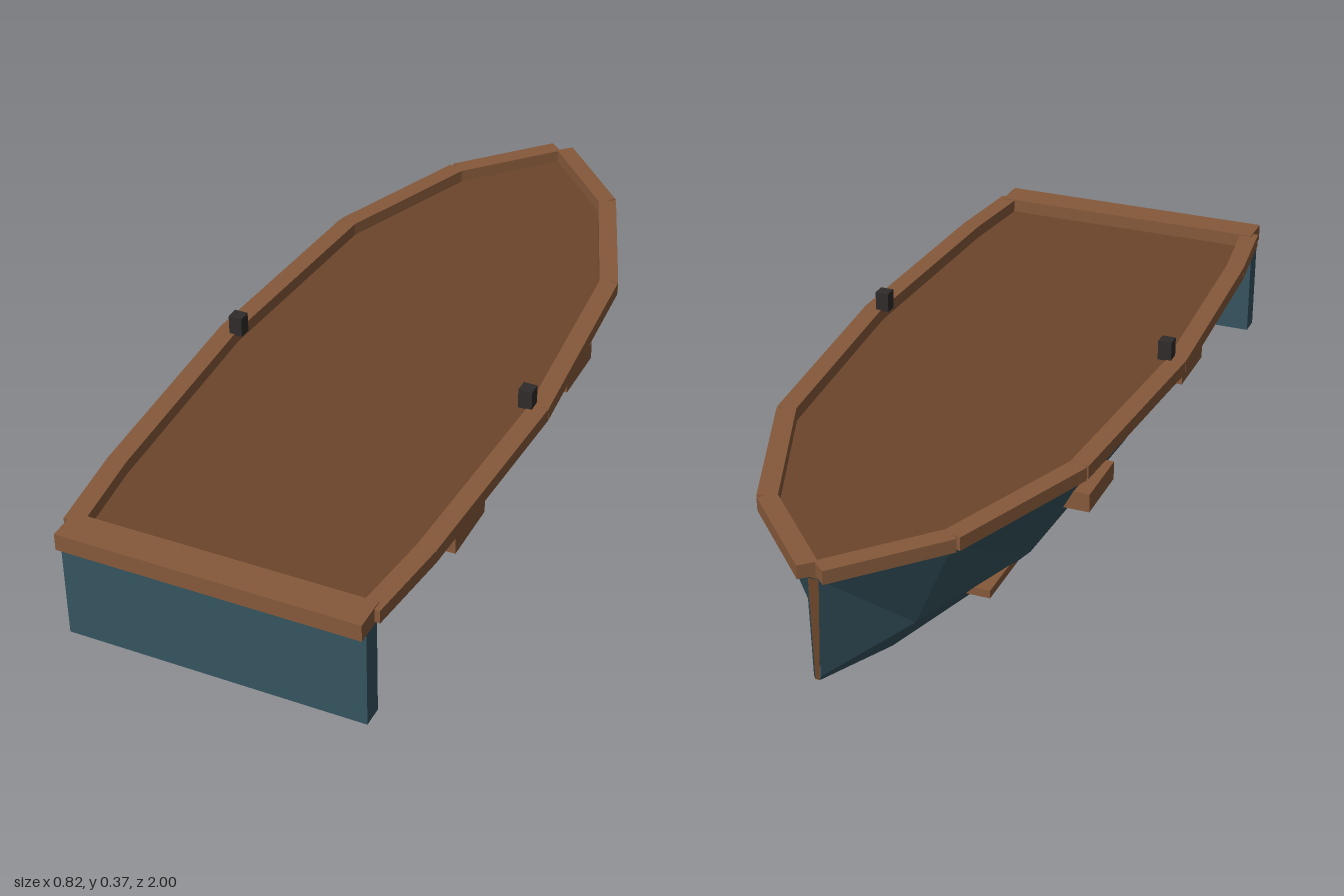
import * as THREE from 'three';

const paint = (color) => new THREE.MeshStandardMaterial({ color, flatShading: true, side: THREE.DoubleSide });

// Hull stations from stern to bow:
// [z, sheer half-width, chine half-width, chine y, bottom half-width, bottom y]
const STATIONS = [
  [0.94, 0.34, 0.195, 0.085, 0.145, 0.032],
  [0.72, 0.365, 0.245, 0.08, 0.165, 0.018],
  [0.16, 0.39, 0.265, 0.08, 0.175, 0],
  [-0.4, 0.35, 0.24, 0.08, 0.165, 0.003],
  [-0.77, 0.21, 0.125, 0.09, 0.07, 0.018],
  [-0.983, 0.012, 0.008, 0.06, 0.005, 0.05],
];
const SHEER_Y = 0.292;

// Half-section from sheer to keel-side, then mirrored to the other sheer
function section([z, sheer, chine, chineY, bottom, bottomY]) {
  const half = [[sheer, SHEER_Y], [chine, chineY], [bottom, bottomY]];
  const other = half.map(([x, y]) => [-x, y]).reverse();
  return [...half, ...other].map(([x, y]) => [x, y, z]);
}

function hullGeometry() {
  const rings = STATIONS.map(section);
  const pos = [];
  const tri = (...corners) => corners.forEach((c) => pos.push(...c));
  for (let i = 0; i < rings.length - 1; i++) {
    const a = rings[i], b = rings[i + 1];
    for (let j = 0; j < 5; j++) {
      // mirrored diagonals keep both sides symmetric
      if (j < 3) {
        tri(a[j], a[j + 1], b[j]);
        tri(a[j + 1], b[j + 1], b[j]);
      } else {
        tri(a[j], a[j + 1], b[j + 1]);
        tri(a[j], b[j + 1], b[j]);
      }
    }
  }
  // stern closure
  const s = rings[0];
  for (let j = 1; j < 5; j++) tri(s[0], s[j + 1], s[j]);
  const geo = new THREE.BufferGeometry();
  geo.setAttribute('position', new THREE.Float32BufferAttribute(pos, 3));
  geo.computeVertexNormals();
  return geo;
}

export function createModel() {
  const model = new THREE.Group();
  const hullPaint = paint(0x36545f);
  const trimWood = paint(0x85593a);
  const deckWood = paint(0x6b452a);
  const iron = paint(0x2e2b2a);

  const add = (name, geo, mat, x = 0, y = 0, z = 0) => {
    const mesh = new THREE.Mesh(geo, mat);
    mesh.name = name;
    mesh.position.set(x, y, z);
    model.add(mesh);
    return mesh;
  };
  const box = (name, mat, w, h, d, x, y, z) => add(name, new THREE.BoxGeometry(w, h, d), mat, x, y, z);

  add('hull', hullGeometry(), hullPaint);

  // Deck follows the sheer line
  const right = STATIONS.map(([z, x]) => new THREE.Vector2(x, -z));
  const left = STATIONS.map(([z, x]) => new THREE.Vector2(-x, -z)).reverse();
  const deck = new THREE.ShapeGeometry(new THREE.Shape([...right, ...left]));
  deck.rotateX(-Math.PI / 2);
  add('deck', deck, deckWood, 0, SHEER_Y + 0.002, 0);

  // Narrow stem face closing the bow
  const stem = new THREE.Shape([
    new THREE.Vector2(-0.012, SHEER_Y), new THREE.Vector2(-0.005, 0.05),
    new THREE.Vector2(0.005, 0.05), new THREE.Vector2(0.012, SHEER_Y),
  ]);
  add('stem', new THREE.ShapeGeometry(stem), deckWood, 0, 0, -0.983);

  // Transom board and its cap
  box('transom', hullPaint, 0.7, 0.237, 0.05, 0, 0.1685, 0.955);
  box('transomCap', trimWood, 0.7, 0.041, 0.08, 0, 0.3075, 0.96);

  for (const side of [1, -1]) {
    // Gunwale: straight lengths between stations
    for (let i = 0; i < STATIONS.length - 1; i++) {
      const [z0, x0] = STATIONS[i], [z1, x1] = STATIONS[i + 1];
      const dx = side * (x1 - x0), dz = z1 - z0;
      const rail = box('gunwale', trimWood, 0.045, 0.032, Math.hypot(dx, dz),
        side * (x0 + x1) / 2, 0.309, (z0 + z1) / 2);
      rail.rotation.y = Math.atan2(dx, dz);
    }
    box('oarlock', iron, 0.033, 0.048, 0.032, side * 0.363, 0.347, 0.163);
  }

  // Thwarts with ends showing through the hull sides
  for (const z of [0.44, -0.23]) box('thwart', trimWood, 0.69, 0.045, 0.163, 0, 0.178, z);

  // Floorboards emerging where the hull narrows
  box('floorboards', trimWood, 0.42, 0.019, 1.455, 0, 0.0575, 0.163);

  return model;
}
